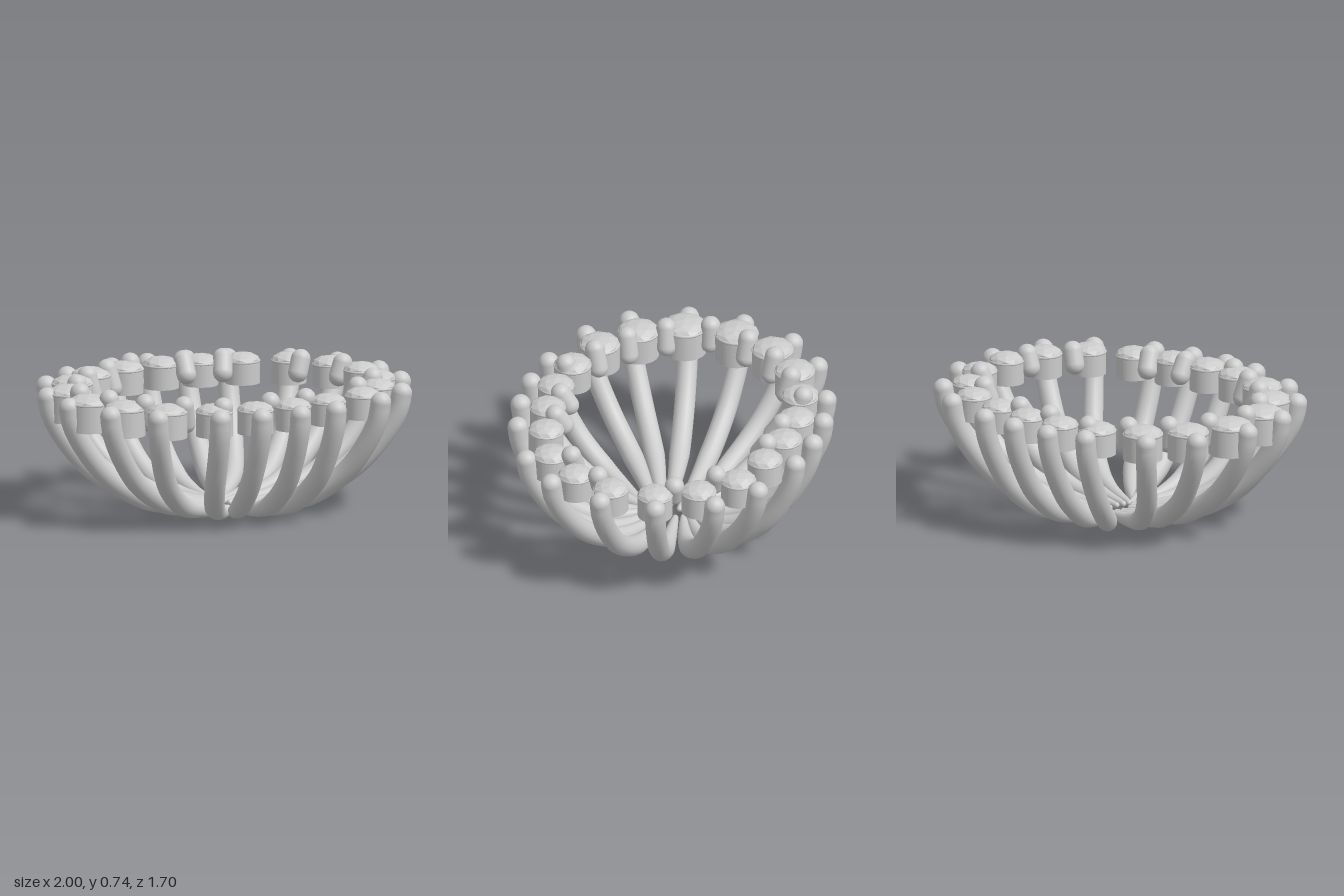
import * as THREE from 'three';

const metal = new THREE.MeshStandardMaterial({ color: 0xcccccc });
const stone = new THREE.MeshStandardMaterial({ color: 0xcccccc, flatShading: true });

// Curved claw that thickens from its thin root to a rounded tip
const PROFILE = [[0, 0.028], [0.12, 0.034], [0.27, 0.051], [0.48, 0.104], [0.73, 0.245], [0.9, 0.425], [0.98, 0.56], [1, 0.645]];
const clawRadius = (t) => 0.016 + 0.039 * Math.min(1, t / 0.36) ** 0.8;

// bow pushes the middle of the claw sideways, towards the long axis
function makeClaw([tx, tz, rx, rz, bowX, bowZ], mx, mz) {
  const claw = new THREE.Group();
  claw.name = 'claw';
  const curve = new THREE.CatmullRomCurve3(PROFILE.map(([s, y]) => {
    const bow = Math.sin(Math.PI * s);
    return new THREE.Vector3(mx * (rx + (tx - rx) * s + bowX * bow), y, mz * (rz + (tz - rz) * s + bowZ * bow));
  }), false, 'centripetal');
  const steps = 28, sides = 16;
  const geo = new THREE.TubeGeometry(curve, steps, 1, sides, false);
  const pos = geo.attributes.position, v = new THREE.Vector3();
  for (let i = 0; i < pos.count; i++) {
    const t = Math.floor(i / (sides + 1)) / steps;
    const c = curve.getPointAt(t);
    v.fromBufferAttribute(pos, i).sub(c).multiplyScalar(clawRadius(t)).add(c);
    pos.setXYZ(i, v.x, v.y, v.z);
  }
  claw.add(new THREE.Mesh(geo, metal));
  for (const t of [0, 1]) {
    const cap = new THREE.Mesh(new THREE.SphereGeometry(clawRadius(t), 16, 12), metal);
    cap.position.copy(curve.getPointAt(t));
    claw.add(cap);
  }
  return claw;
}

// Hollow collar with a rounded rim, holding a faceted stone
function makeSetting([x, z, r]) {
  const setting = new THREE.Group();
  setting.name = 'stoneSetting';
  const h = r * 1.22;
  const wall = new THREE.Shape().absarc(0, 0, r * 0.97, 0, Math.PI * 2);
  wall.holes.push(new THREE.Path().absarc(0, 0, r * 0.76, 0, Math.PI * 2, true));
  const collar = new THREE.Mesh(
    new THREE.ExtrudeGeometry(wall, { depth: h, bevelEnabled: false, curveSegments: 32 }), metal);
  collar.name = 'collar';
  collar.rotation.x = -Math.PI / 2;
  collar.position.y = 0.66 - h;

  const rim = new THREE.Mesh(new THREE.TorusGeometry(r * 0.93, r * 0.07, 8, 32), metal);
  rim.name = 'rim';
  rim.rotation.x = Math.PI / 2;
  rim.position.y = 0.663;

  const gem = new THREE.Mesh(new THREE.IcosahedronGeometry(r, 1), stone);
  gem.name = 'stone';
  gem.scale.y = 0.045 / r;
  gem.position.y = 0.664;

  setting.add(collar, rim, gem);
  setting.position.set(x, 0, z);
  return setting;
}

// Round-ended pin between neighbouring stones, leaning inwards at its foot
function makePin([x, z, footY, lean]) {
  const d = Math.hypot(x, z);
  const top = new THREE.Vector3(x * (1 + 0.012 / d), 0.69, z * (1 + 0.012 / d));
  const foot = new THREE.Vector3(x * (1 - lean / d), footY, z * (1 - lean / d));
  const dir = top.clone().sub(foot);
  const pin = new THREE.Mesh(new THREE.CapsuleGeometry(0.052, dir.length(), 8, 20), metal);
  pin.name = 'pin';
  pin.position.copy(top).add(foot).multiplyScalar(0.5);
  pin.quaternion.setFromUnitVectors(new THREE.Vector3(0, 1, 0), dir.normalize());
  return pin;
}

// Tip x, tip z, root x, root z, bow x, bow z for one quarter
const CLAWS = [
  [0.11, 0.795, 0.012, 0.12, 0.028, 0], [0.33, 0.755, 0.016, 0.14, 0.06, -0.01],
  [0.635, 0.63, 0.015, 0.1, 0.05, -0.05], [0.83, 0.445, 0.03, 0.07, 0.01, -0.045],
  [0.945, 0.15, 0.045, 0.03, 0, -0.008],
];
// Centre x, centre z, radius for the front half
const STONES = [
  [-0.825, 0.14, 0.118], [-0.715, 0.365, 0.112], [-0.54, 0.53, 0.108], [-0.31, 0.62, 0.101],
  [-0.09, 0.655, 0.098], [0.13, 0.643, 0.097], [0.35, 0.595, 0.095], [0.58, 0.51, 0.095],
  [0.74, 0.335, 0.094], [0.83, 0.12, 0.095],
];
// Centre x, centre z, foot height, lean for the front half; the first lies on the middle line
const PINS = [
  [-0.81, 0, 0.59, 0], [-0.735, 0.22, 0.59, 0.015], [-0.605, 0.395, 0.59, 0.015],
  [-0.44, 0.525, 0.59, 0.02], [-0.265, 0.635, 0.59, 0.02], [0.015, 0.59, 0.62, 0.035],
  [0.225, 0.565, 0.62, 0.035], [0.59, 0.388, 0.62, 0.015], [0.75, 0.205, 0.62, 0.015],
];

export function createModel() {
  const model = new THREE.Group();
  model.name = 'basketSetting';
  for (const side of [1, -1]) {
    for (const claw of CLAWS)
      for (const m of [1, -1]) model.add(makeClaw(claw, m, side));
    for (const [x, z, r] of STONES) model.add(makeSetting([x, z * side, r]));
    for (const [x, z, footY, lean] of PINS)
      if (z > 0 || side > 0) model.add(makePin([x, z * side, footY, lean]));
  }
  return model;
}
